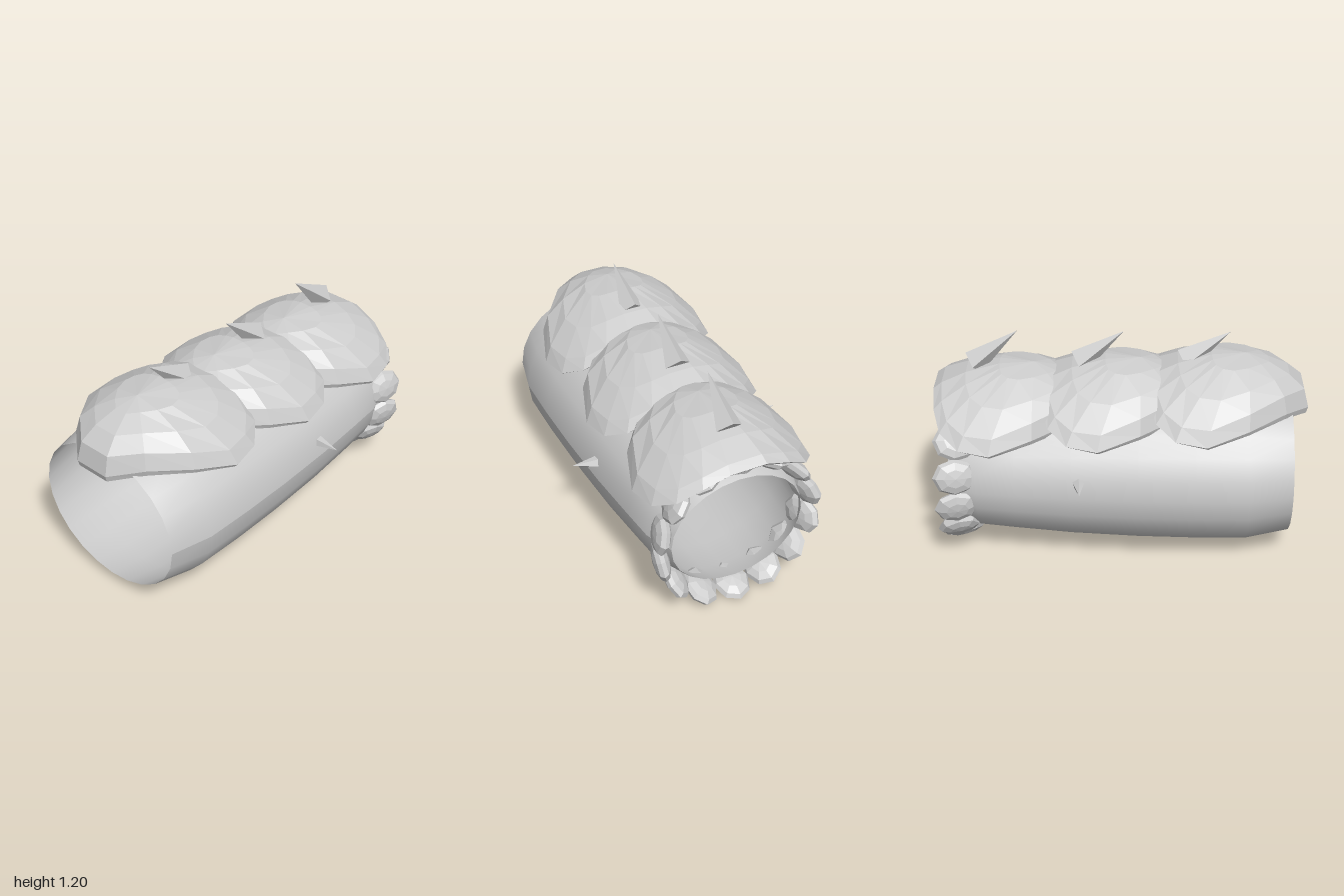
import * as THREE from 'three';

const steel = new THREE.MeshStandardMaterial({ color: 0xcccccc, side: THREE.DoubleSide });
steel.name = 'pale steel';

// Faceted copy of a geometry: every face gets its own normal
function faceted(geometry) {
  const g = geometry.index ? geometry.toNonIndexed() : geometry;
  g.computeVertexNormals();
  return g;
}

function addMesh(parent, name, geometry) {
  const mesh = new THREE.Mesh(geometry, steel);
  mesh.name = name;
  parent.add(mesh);
  return mesh;
}

// Pyramid-like spike from a base point to a tip
function addSpike(parent, name, base, tip, radius, sides) {
  const from = new THREE.Vector3(...base);
  const dir = new THREE.Vector3(...tip).sub(from);
  const cone = new THREE.ConeGeometry(radius, dir.length(), sides);
  cone.translate(0, dir.length() / 2, 0);
  const mesh = addMesh(parent, name, faceted(cone));
  mesh.position.copy(from);
  mesh.quaternion.setFromUnitVectors(new THREE.Vector3(0, 1, 0), dir.normalize());
  return mesh;
}

// Domed scale plate with a bevelled rim and a hollow underside
function plateGeometry() {
  const half = [[-0.43, 0.1], [-0.3, 0.25], [-0.1, 0.4], [0.12, 0.475],
    [0.28, 0.445], [0.38, 0.36], [0.42, 0.24], [0.435, 0.1]];
  const outline = [...half, ...half.slice().reverse().map(([x, z]) => [x, -z])];
  const n = outline.length;
  const dome = (x, z) => 1.1 - 1.2 * z * z - (x < 0 ? 0.93 : 0.5) * x * x;
  // [scale of the outline, share of the rim drop, extra depth]
  const rings = [[0, 0, 0], [0.35, 0, 0], [0.68, 0, 0], [0.92, 0.12, 0],
    [1, 0.8, 0], [0.97, 1, 0.02], [0.6, 0.9, 0.05], [0, 0.8, 0.08]];
  const positions = [];
  const indices = [];
  for (const [t, rim, depth] of rings) {
    for (const [ox, oz] of outline) {
      const x = -0.1 * (1 - t) + ox * t;
      const z = oz * t;
      positions.push(x, dome(x, z) - rim * (0.07 - 0.12 * x) - depth, z);
    }
  }
  for (let r = 0; r < rings.length - 1; r++) {
    for (let i = 0; i < n; i++) {
      const j = (i + 1) % n;
      const a = r * n + i, b = r * n + j, c = a + n, d = b + n;
      if (rings[r][0] > 0) indices.push(a, d, b);
      if (rings[r + 1][0] > 0) indices.push(a, c, d);
      else indices.push(a, c, b);
    }
  }
  // Drop the collapsed triangles left at the underside centre
  const g = new THREE.BufferGeometry();
  g.setAttribute('position', new THREE.Float32BufferAttribute(positions, 3));
  g.setIndex(indices.filter((v, k) => {
    const f = Math.floor(k / 3) * 3;
    return new Set([indices[f], indices[f + 1], indices[f + 2]]).size === 3;
  }));
  return faceted(g);
}

export function createModel() {
  const model = new THREE.Group();
  model.name = 'armGuard';

  // Smooth open sleeve, wide near the rear and tapering to the cuff
  const profile = [[0.455, -0.91], [0.507, -0.68], [0.509, -0.4], [0.502, -0.1],
    [0.483, 0.25], [0.455, 0.55], [0.434, 0.75], [0.37, 0.9]]
    .map(([r, x]) => new THREE.Vector2(r, x));
  const sleeve = new THREE.LatheGeometry(profile, 24);
  sleeve.rotateZ(-Math.PI / 2);
  sleeve.scale(1, 0.87, 1);
  sleeve.computeVertexNormals();
  addMesh(model, 'sleeve', sleeve).position.y = 0.47;

  // Three overlapping plates, each with a swept-back spike
  const plate = plateGeometry();
  for (let i = 0; i < 3; i++) {
    const dx = i * 0.56;
    addMesh(model, 'plate' + (i + 1), plate).position.set(-0.57 + dx, -0.03 * i, 0);
    addSpike(model, 'plateSpike' + (i + 1),
      [-0.345 + dx, 1.045 - 0.01 * i, 0], [-0.58 + dx, 1.21, 0], 0.07, 4);
  }

  // Small spikes on both sides
  for (const s of [1, -1]) {
    addSpike(model, s > 0 ? 'frontSideSpike' : 'backSideSpike',
      [0.21, 0.555, s * 0.46], [0.2, 0.568, s * 0.602], 0.034, 5);
  }

  // Ring of faceted studs flaring around the cuff
  const stud = new THREE.SphereGeometry(1, 8, 6);
  stud.scale(0.118, 0.044, 0.1);
  const studFacets = faceted(stud);
  const cuff = new THREE.Group();
  cuff.name = 'cuffStuds';
  const count = 14;
  for (let i = 0; i < count; i++) {
    const a = (i / count) * Math.PI * 2;
    const holder = new THREE.Group();
    holder.name = 'studHolder';
    holder.position.set(0.858, 0.467 - 0.405 * Math.cos(a), 0.418 * Math.sin(a));
    holder.rotation.x = Math.PI - a;
    addMesh(holder, 'stud', studFacets).rotation.z = 0.26;
    cuff.add(holder);
  }
  model.add(cuff);

  return model;
}
